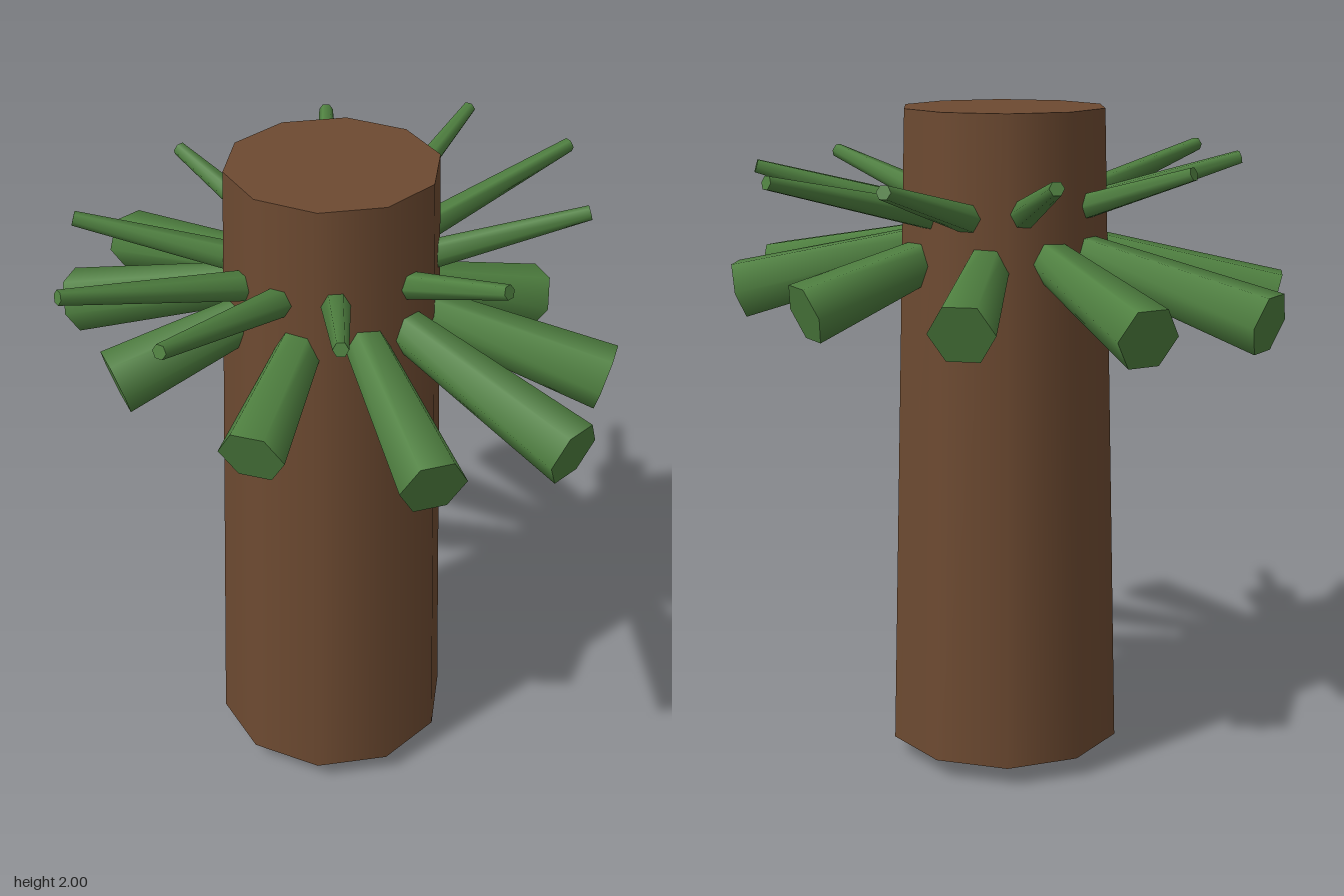
import * as THREE from 'three';

const bark = new THREE.MeshStandardMaterial({ color: 0x6d4a31 });
const leaf = new THREE.MeshStandardMaterial({ color: 0x4f8040 });

// Ring of ten six-sided limbs whose tips lie on an ellipse (rx, rz)
function limbRing(name, { rx, rz, yBase, yTip, rBase, rTip }) {
  const ring = new THREE.Group();
  ring.name = name + 'Ring';
  for (let i = 0; i < 10; i++) {
    const a = (i / 10) * Math.PI * 2;
    const x = rx * Math.cos(a), z = rz * Math.sin(a);
    const reach = Math.hypot(x, z), rise = yTip - yBase;
    const length = Math.hypot(reach, rise);
    const geo = new THREE.CylinderGeometry(rTip, rBase, length, 6);
    geo.translate(0, length / 2, 0);
    geo.rotateZ(Math.atan2(rise, reach) - Math.PI / 2);
    geo.rotateY(Math.atan2(-z, x));
    const limb = new THREE.Mesh(geo, leaf);
    limb.name = name + (i + 1);
    limb.position.y = yBase;
    ring.add(limb);
  }
  return ring;
}

export function createModel() {
  const model = new THREE.Group();
  model.name = 'tree';

  // Ten-sided tapering trunk
  const trunk = new THREE.Mesh(new THREE.CylinderGeometry(0.305, 0.361, 1.935, 10), bark);
  trunk.name = 'trunk';
  trunk.position.y = 0.065 + 1.935 / 2;
  model.add(trunk);

  // Rounded root showing as a shallow dome beneath the trunk
  const root = new THREE.Mesh(new THREE.SphereGeometry(0.33, 16, 10), bark);
  root.name = 'root';
  root.position.y = 0.335;
  model.add(root);

  // Drooping thick limbs, widening towards the tip
  model.add(limbRing('lowerBranch', {
    rx: 0.88, rz: 0.63, yBase: 1.655, yTip: 1.445, rBase: 0.045, rTip: 0.095,
  }));

  // Rising thin limbs, narrowing towards the tip
  model.add(limbRing('upperBranch', {
    rx: 0.635, rz: 0.87 - 0.01 + 0.01, yBase: 1.635, yTip: 1.84, rBase: 0.055, rTip: 0.021,
  }));

  return model;
}
